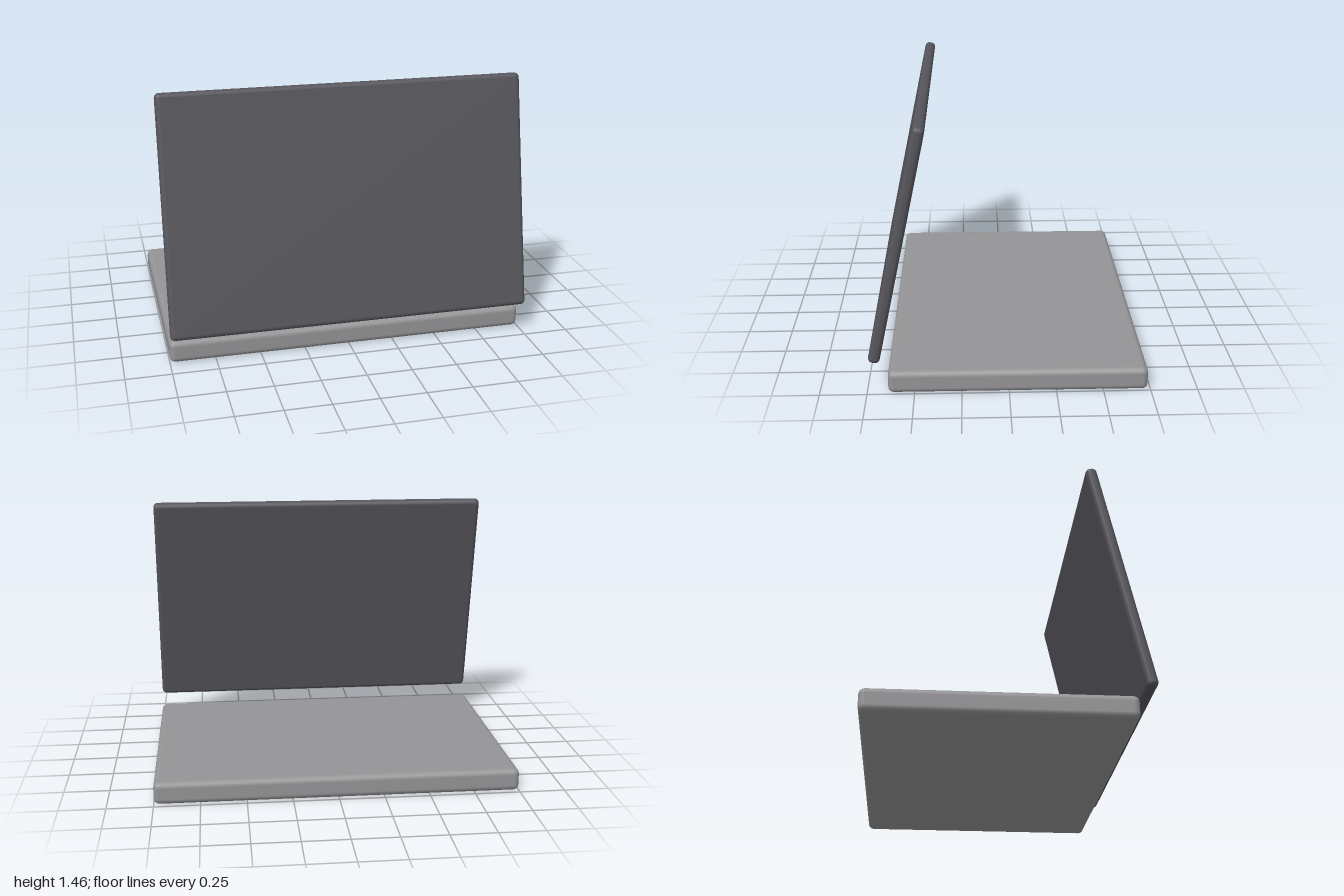
import * as THREE from 'three';
import { RoundedBoxGeometry } from 'three/addons/geometries/RoundedBoxGeometry.js';

export function createModel() {
  const model = new THREE.Group();
  model.name = 'laptop';

  const bodyGrey = new THREE.MeshStandardMaterial({ color: 0x949496 });
  bodyGrey.name = 'bodyGrey';
  const lidGrey = new THREE.MeshStandardMaterial({ color: 0x56555b });
  lidGrey.name = 'lidGrey';

  // Rounded slab spanning the full width
  function slab(name, height, depth, radius, material) {
    const mesh = new THREE.Mesh(new RoundedBoxGeometry(2, height, depth, 3, radius), material);
    mesh.name = name;
    model.add(mesh);
    return mesh;
  }

  // Flat base
  const base = slab('base', 0.125, 1.375, 0.032, bodyGrey);
  base.position.set(0, 0.0625, -0.048);

  // Thin lid floating above the front edge, leaning back over the base
  const lid = slab('lid', 1.307, 0.062, 0.026, lidGrey);
  lid.position.set(0, 0.815, 0.577);
  lid.rotation.x = THREE.MathUtils.degToRad(-12);

  return model;
}
